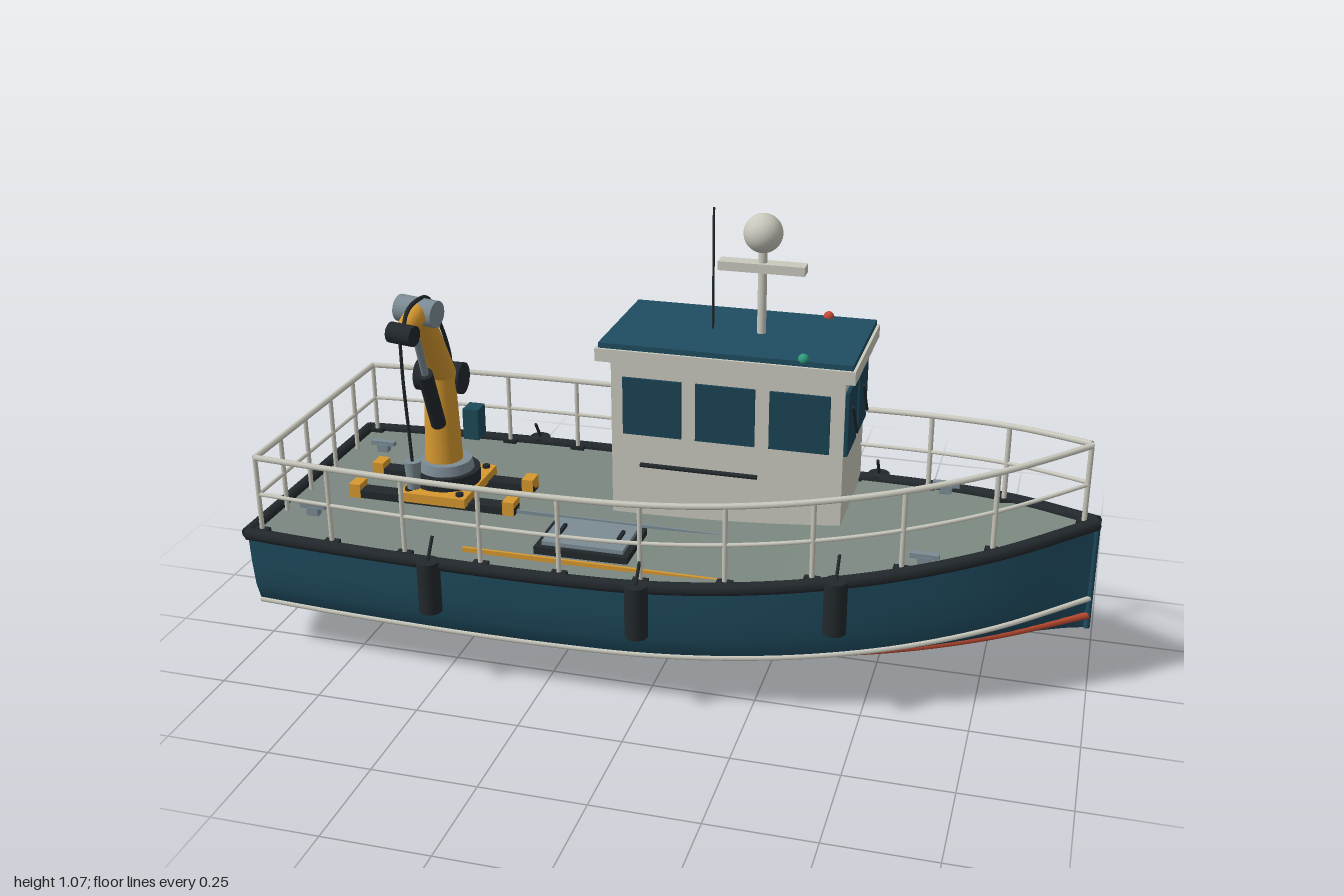
import * as THREE from 'three';

const C = {
  hull: 0x1f4c60, roof: 0x1f4c60, deck: 0x7a877f, dark: 0x22282c, cream: 0xc9c8bd, glass: 0x1b4355,
  yellow: 0xd6982f, steel: 0x7c8b94, orange: 0xb5472f, green: 0x2f9c7c, red: 0xc24a34, teal: 0x1d4a58,
};
const mats = {};
const mat = (c) => (mats[c] ??= new THREE.MeshStandardMaterial({ color: C[c], side: THREE.DoubleSide }));
const V = (x, y, z) => new THREE.Vector3(x, y, z);

// Hull lines, sampled at eleven even stations from stern to bow
const BEAM = [0.345, 0.36, 0.37, 0.375, 0.374, 0.366, 0.342, 0.302, 0.24, 0.145, 0.004];
const SHEER = [0.322, 0.322, 0.322, 0.322, 0.322, 0.325, 0.335, 0.353, 0.378, 0.408, 0.44];
const KEEL = [0.05, 0.05, 0.05, 0.05, 0.051, 0.054, 0.062, 0.077, 0.1, 0.132, 0.17];
const SECTION = [[1, 1], [0.985, 0.7], [0.96, 0.47], [0.91, 0.29], [0.8, 0.21], [0.6, 0.125], [0.36, 0.045], [0.18, 0.015], [0, 0]];
const END = 0.985;

function line(arr, x) {
  const u = THREE.MathUtils.clamp((x + END) / (2 * END), 0, 1) * (arr.length - 1);
  const i = Math.min(Math.floor(u), arr.length - 2), t = u - i;
  const b = arr[i], c = arr[i + 1], a = arr[i - 1] ?? 2 * b - c, d = arr[i + 2] ?? 2 * c - b;
  return b + 0.5 * t * (c - a + t * (2 * a - 5 * b + 4 * c - d + t * (3 * (b - c) + d - a)));
}
// Point on the hull skin: side, fraction of beam, fraction of height
function skin(x, s, zf, yf) {
  const k = line(KEEL, x);
  return V(x, k + (line(SHEER, x) - k) * yf, s * line(BEAM, x) * zf);
}
const stations = (n, a = -END, b = END) => Array.from({ length: n + 1 }, (_, i) => a + ((b - a) * i) / n);

export function createModel() {
  const root = new THREE.Group();
  root.name = 'workboat';

  const add = (name, geo, color, parent = root) => {
    const m = new THREE.Mesh(geo, mat(color));
    m.name = name;
    parent.add(m);
    return m;
  };
  const group = (name) => {
    const g = new THREE.Group();
    g.name = name;
    root.add(g);
    return g;
  };
  // Box given by its low and high corners
  const box = (name, x0, x1, y0, y1, z0, z1, color, parent) => {
    const m = add(name, new THREE.BoxGeometry(x1 - x0, y1 - y0, z1 - z0), color, parent);
    m.position.set((x0 + x1) / 2, (y0 + y1) / 2, (z0 + z1) / 2);
    return m;
  };
  // Round bar between two points
  const rod = (name, a, b, r, color, parent, r2 = r, seg = 16) => {
    const d = b.clone().sub(a);
    const m = add(name, new THREE.CylinderGeometry(r2, r, d.length(), seg), color, parent);
    m.position.copy(a).addScaledVector(d, 0.5);
    m.quaternion.setFromUnitVectors(V(0, 1, 0), d.normalize());
    return m;
  };
  const tube = (name, pts, r, color, parent, n = 60) =>
    add(name, new THREE.TubeGeometry(new THREE.CatmullRomCurve3(pts), n, r, 8), color, parent);
  // Skin stretched over rows of points
  const loft = (name, rows, color, parent) => {
    const n = rows[0].length, idx = [];
    for (let i = 0; i < rows.length - 1; i++)
      for (let j = 0; j < n - 1; j++) {
        const a = i * n + j, b = a + n;
        idx.push(a, a + 1, b, b, a + 1, b + 1);
      }
    const g = new THREE.BufferGeometry().setFromPoints(rows.flat());
    g.setIndex(idx);
    g.computeVertexNormals();
    return add(name, g, color, parent);
  };

  // Hull, transom and deck
  const hull = group('hull');
  const section = (x) => [
    ...SECTION.map(([z, y]) => skin(x, 1, z, y)),
    ...SECTION.slice(0, -1).reverse().map(([z, y]) => skin(x, -1, z, y)),
  ];
  loft('hullSkin', stations(60).map(section), 'hull', hull);
  const stern = section(-END);
  loft('transom', [stern.map((p) => V(p.x, p.y, 0)), stern], 'hull', hull);
  loft('deck', stations(40).map((x) => [-1, 1].map((s) => skin(x, s, 0.99, 1))), 'deck', hull);

  // Rubbing strake and hull stripes on both sides
  for (const s of [1, -1]) {
    const run = (zf, yf) => stations(30).map((x) => skin(x, s, zf, yf));
    tube('rubRail', run(1, 1), 0.016, 'dark', hull);
    tube('upperStripe', run(0.91, 0.29), 0.007, 'cream', hull);
    tube('lowerStripe', run(0.6, 0.125), 0.009, 'orange', hull);
  }
  rod('sternRubRail', skin(-END, -1, 1, 1), skin(-END, 1, 1, 1), 0.016, 'dark', hull);
  rod('stemBar', skin(END, 1, 0, 0), skin(END, 1, 0, 1), 0.008, 'hull', hull);

  // Running gear under the stern
  box('rudder', -0.98, -0.9, 0, 0.07, -0.01, 0.01, 'teal', hull);
  box('skeg', -0.83, -0.52, 0.008, 0.06, -0.012, 0.012, 'teal', hull);
  const prop = group('propeller');
  prop.position.set(-0.85, 0.042, 0);
  rod('hub', V(-0.02, 0, 0), V(0.025, 0, 0), 0.012, 'yellow', prop);
  for (const a of [0, 1, 2]) {
    const pivot = new THREE.Group();
    pivot.rotation.x = (a * Math.PI * 2) / 3;
    prop.add(pivot);
    box('blade', -0.005, 0.005, 0.005, 0.05, -0.014, 0.014, 'yellow', pivot).rotation.y = 0.5;
  }

  // Guard rails
  const rails = group('guardRails');
  const railPt = (x, s, h) => V(x, line(SHEER, x) + h, s * Math.max(line(BEAM, x) - 0.02, 0.004));
  for (const s of [1, -1]) {
    for (const [h, r] of [[0.195, 0.0075], [0.1, 0.005]])
      tube('rail', stations(24, -0.955, 0.955).map((x) => railPt(x, s, h)), r, 'cream', rails);
    for (const x of stations(10, -0.955, 0.955)) {
      rod('post', railPt(x, s, 0), railPt(x, s, 0.195), 0.006, 'cream', rails, 0.006, 8);
      const p = railPt(x, s, 0.005);
      box('postFoot', x - 0.018, x + 0.018, p.y - 0.005, p.y + 0.005, p.z - 0.01, p.z + 0.01, 'dark', rails);
    }
  }
  for (const [h, r] of [[0.195, 0.0075], [0.1, 0.005]])
    rod('sternRail', railPt(-0.955, -1, h), railPt(-0.955, 1, h), r, 'cream', rails, r, 8);
  for (const z of [-0.2, -0.07, 0.07, 0.2])
    rod('sternPost', V(-0.955, 0.32, z), V(-0.955, 0.517, z), 0.006, 'cream', rails, 0.006, 8);

  // Fenders with lanyards
  const fenders = group('fenders');
  for (const s of [1, -1])
    for (const x of [-0.5, 0, 0.44]) {
      const y = line(SHEER, x) + 0.012, z = s * (line(BEAM, x) + 0.013);
      rod('fender', V(x, y - 0.13, z), V(x, y, z), 0.027, 'dark', fenders);
      rod('lanyard', V(x, y, z), railPt(x, s, 0.06), 0.004, 'dark', fenders, 0.004, 6);
    }

  // Wheelhouse
  const cabin = group('wheelhouse');
  box('walls', -0.175, 0.393, 0.32, 0.73, -0.3, -0.01, 'cream', cabin);
  box('roofSlab', -0.205, 0.42, 0.725, 0.757, -0.33, 0.022, 'cream', cabin);
  box('roofTop', -0.198, 0.413, 0.757, 0.77, -0.323, 0.015, 'roof', cabin);
  for (const z of [-0.01, -0.3]) {
    for (const x of [-0.145, 0.035, 0.215])
      box('sideWindow', x, x + 0.145, 0.535, 0.68, z - 0.006, z + 0.006, 'glass', cabin);
    const o = z + (z > -0.1 ? 0.012 : -0.012);
    rod('grabRail', V(-0.1, 0.46, o), V(0.19, 0.46, o), 0.006, 'dark', cabin, 0.006, 8);
  }
  for (const z of [-0.14, -0.29]) {
    box('frontWindow', 0.388, 0.402, 0.53, 0.69, z, z + 0.125, 'glass', cabin);
    rod('wiper', V(0.407, 0.555, z + 0.025), V(0.407, 0.645, z + 0.095), 0.004, 'dark', cabin, 0.004, 6);
  }
  box('door', -0.184, -0.17, 0.34, 0.66, -0.25, -0.11, 'glass', cabin);
  box('doorHandle', -0.194, -0.184, 0.48, 0.5, -0.14, -0.12, 'steel', cabin);
  for (const [z, c] of [[0.005, 'green'], [-0.312, 'red']])
    add('navigationLight', new THREE.SphereGeometry(0.013, 16, 12), c, cabin).position.set(0.295, 0.772, z);

  // Mast with radar bar, dome and whip aerial
  const mast = group('mast');
  rod('mastPole', V(0.16, 0.765, -0.155), V(0.16, 0.98, -0.155), 0.011, 'cream', mast);
  box('radarBar', 0.055, 0.265, 0.924, 0.946, -0.175, -0.135, 'cream', mast);
  add('dome', new THREE.SphereGeometry(0.047, 32, 24), 'cream', mast).position.set(0.16, 1.017, -0.155);
  rod('aerial', V(0.04, 0.765, -0.155), V(0.04, 1.07, -0.155), 0.003, 'dark', mast, 0.003, 6);

  // Deck hatch, guide lines and cleats
  const gear = group('deckGear');
  box('hatchFrame', -0.285, -0.055, 0.32, 0.34, 0.1, 0.265, 'dark', gear);
  box('hatchLid', -0.27, -0.07, 0.335, 0.35, 0.115, 0.25, 'steel', gear);
  for (const x of [-0.24, -0.095]) box('hatchHandle', x - 0.004, x + 0.004, 0.35, 0.358, 0.16, 0.205, 'dark', gear);
  box('deckLine', -0.45, 0.2, 0.32, 0.333, 0.292, 0.299, 'yellow', gear);
  box('deckSeam', -0.45, 0.2, 0.32, 0.331, 0.063, 0.068, 'steel', gear);
  for (const s of [1, -1])
    for (const [x, z] of [[-0.88, 0.205], [0.62, 0.2]]) {
      const y = line(SHEER, x);
      box('cleatFoot', x - 0.015, x + 0.015, y, y + 0.022, s * z - 0.01, s * z + 0.01, 'steel', gear);
      box('cleatBar', x - 0.033, x + 0.033, y + 0.018, y + 0.03, s * z - 0.008, s * z + 0.008, 'steel', gear);
    }

  // Crane on its skid rails
  const crane = group('crane');
  for (const z of [-0.072, 0.067]) {
    box('skidRail', -0.84, -0.4, 0.32, 0.342, z - 0.02, z + 0.02, 'dark', crane);
    for (const x of [-0.825, -0.415]) box('skidStop', x - 0.015, x + 0.015, 0.32, 0.358, z - 0.022, z + 0.022, 'yellow', crane);
  }
  box('basePlate', -0.695, -0.52, 0.338, 0.362, -0.11, 0.11, 'yellow', crane);
  for (const x of [-0.675, -0.54])
    for (const z of [-0.09, 0.09]) rod('baseBolt', V(x, 0.36, z), V(x, 0.37, z), 0.01, 'dark', crane, 0.01, 6);
  rod('turntable', V(-0.61, 0.36, 0), V(-0.61, 0.395, 0), 0.085, 'dark', crane, 0.085, 32);
  rod('turntableRing', V(-0.61, 0.395, 0), V(-0.61, 0.42, 0), 0.07, 'steel', crane, 0.065, 32);
  rod('column', V(-0.615, 0.41, 0), V(-0.615, 0.65, 0), 0.048, 'yellow', crane, 0.038, 24);
  const shoulder = V(-0.615, 0.61, -0.03), elbow = V(-0.587, 0.86, 0.158), tip = V(-0.565, 0.852, 0.298);
  rod('shoulderMotor', V(-0.69, 0.62, -0.045), V(-0.57, 0.62, -0.045), 0.04, 'dark', crane, 0.04, 24);
  box('controlBox', -0.57, -0.53, 0.465, 0.545, -0.075, -0.025, 'teal', crane);
  rod('lowerBoom', shoulder, elbow, 0.037, 'yellow', crane, 0.029, 20);
  rod('elbowJoint', V(-0.638, 0.862, 0.15), V(-0.538, 0.858, 0.166), 0.032, 'steel', crane, 0.032, 24);
  rod('upperBoom', elbow, tip, 0.027, 'yellow', crane, 0.023, 20);
  rod('tipJoint', V(-0.597, 0.853, 0.293), V(-0.535, 0.851, 0.303), 0.024, 'dark', crane, 0.024, 20);
  rod('ramCylinder', V(-0.605, 0.53, 0.045), V(-0.592, 0.695, 0.135), 0.019, 'dark', crane);
  rod('ramRod', V(-0.592, 0.69, 0.132), V(-0.586, 0.8, 0.182), 0.009, 'steel', crane);
  tube('hose', [V(-0.56, 0.86, 0.31), V(-0.57, 0.89, 0.26), V(-0.575, 0.897, 0.2), V(-0.58, 0.88, 0.12),
    V(-0.585, 0.8, 0.05), V(-0.59, 0.7, -0.01), V(-0.6, 0.63, -0.04)], 0.005, 'dark', crane);
  tube('hoistCable', [tip.clone().add(V(0, 0, 0.018)), V(-0.565, 0.75, 0.314), V(-0.565, 0.63, 0.303), V(-0.565, 0.535, 0.294)], 0.004, 'dark', crane, 24);
  rod('hoistWeight', V(-0.565, 0.472, 0.294), V(-0.565, 0.54, 0.294), 0.015, 'steel', crane, 0.02, 20);

  return root;
}
